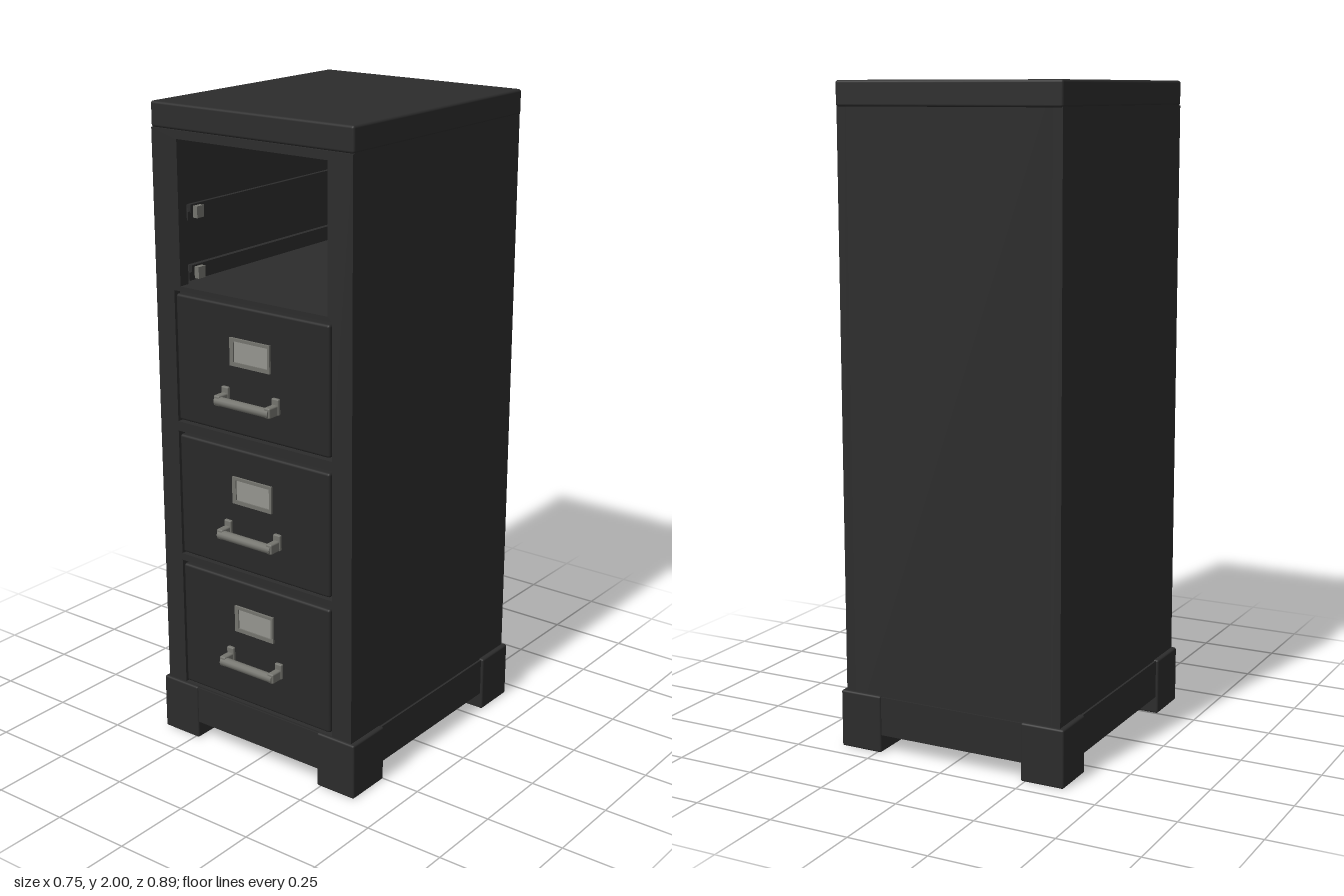
import * as THREE from 'three';
import { RoundedBoxGeometry } from 'three/addons/geometries/RoundedBoxGeometry.js';

const mat = (name, color) => {
  const m = new THREE.MeshStandardMaterial({ color });
  m.name = name;
  return m;
};

export function createModel() {
  const root = new THREE.Group();
  root.name = 'filingCabinet';
  const black = mat('blackPaint', 0x2c2c2c);
  const drawerBlack = mat('drawerPaint', 0x282828);
  const steel = mat('steel', 0x74746e);
  const card = mat('labelCard', 0x94948f);

  // Box given by its min and max corners, optionally with rounded edges
  function box(parent, name, m, [x0, y0, z0], [x1, y1, z1], r = 0) {
    const w = x1 - x0, h = y1 - y0, d = z1 - z0;
    const g = r ? new RoundedBoxGeometry(w, h, d, 2, r) : new THREE.BoxGeometry(w, h, d);
    const mesh = new THREE.Mesh(g, m);
    mesh.position.set((x0 + x1) / 2, (y0 + y1) / 2, (z0 + z1) / 2);
    mesh.name = name;
    parent.add(mesh);
    return mesh;
  }

  // Rectangular outline, used for the front frame, its openings and label frames
  function rect(P, x0, y0, x1, y1) {
    const p = new P();
    p.moveTo(x0, y0);
    p.lineTo(x1, y0);
    p.lineTo(x1, y1);
    p.lineTo(x0, y1);
    p.closePath();
    return p;
  }

  // Shell
  for (const s of [-1, 1]) {
    const side = box(root, s > 0 ? 'leftSide' : 'rightSide', black, [-0.015, 0.06, -0.435], [0.015, 1.99, 0.39]);
    side.position.x = s * 0.345;
  }
  box(root, 'backPanel', black, [-0.33, 0.06, -0.435], [0.33, 1.99, -0.41]);
  box(root, 'topPanel', black, [-0.362, 1.925, -0.44], [0.362, 2, 0.395], 0.008);
  box(root, 'bottomPanel', black, [-0.35, 0.06, -0.43], [0.35, 0.1, 0.38]);
  box(root, 'bayFloor', black, [-0.33, 1.44, -0.41], [0.33, 1.465, 0.37]);

  // Front frame with one opening per bay
  const bays = [[0.18, 0.598], [0.62, 1.02], [1.05, 1.455]];
  const frame = rect(THREE.Shape, -0.36, 0.06, 0.36, 1.925);
  for (const [y0, y1] of bays) frame.holes.push(rect(THREE.Path, -0.29, y0, 0.29, y1));
  frame.holes.push(rect(THREE.Path, -0.265, 1.47, 0.275, 1.9));
  const front = new THREE.Mesh(new THREE.ExtrudeGeometry(frame, { depth: 0.035, bevelEnabled: false }), black);
  front.position.z = 0.36;
  front.name = 'frontFrame';
  root.add(front);

  // Runners inside the open bay
  for (const s of [-1, 1]) {
    for (const y of [1.5, 1.68]) {
      const x = s * 0.295;
      box(root, 'runner', black, [x - 0.035, y - 0.02, -0.4], [x + 0.035, y + 0.005, 0.36]);
      box(root, 'runnerLip', black, [s * 0.265 - 0.006, y, -0.4], [s * 0.265 + 0.006, y + 0.025, 0.35]);
      box(root, 'runnerStop', steel, [s * 0.25 - 0.008, y - 0.015, 0.31], [s * 0.25 + 0.008, y + 0.02, 0.34]);
    }
  }

  // Drawers with label holder and pull
  bays.forEach(([y0, y1], i) => {
    const drawer = new THREE.Group();
    drawer.name = 'drawer' + (i + 1);
    root.add(drawer);
    box(drawer, 'drawerFront', drawerBlack, [-0.283, y0 + 0.008, 0.34], [0.283, y1 - 0.008, 0.398], 0.008);

    const ly = [0.465, 0.883, 1.31][i];
    const lf = rect(THREE.Shape, -0.074, ly - 0.042, 0.074, ly + 0.042);
    lf.holes.push(rect(THREE.Path, -0.06, ly - 0.03, 0.066, ly + 0.033));
    const holder = new THREE.Mesh(new THREE.ExtrudeGeometry(lf, { depth: 0.009, bevelEnabled: false }), steel);
    holder.position.z = 0.396;
    holder.name = 'labelHolder';
    drawer.add(holder);
    box(drawer, 'labelCard', card, [-0.066, ly - 0.036, 0.396], [0.07, ly + 0.036, 0.401]);

    const hy = [0.333, 0.752, 1.17][i];
    const bar = new THREE.Mesh(new THREE.CylinderGeometry(0.014, 0.014, 0.2, 12), steel);
    bar.rotation.z = Math.PI / 2;
    bar.position.set(0, hy - 0.006, 0.436);
    bar.name = 'pullBar';
    drawer.add(bar);
    for (const s of [-1, 1]) {
      const x = s * 0.094;
      box(drawer, 'pullArm', steel, [x - 0.011, hy - 0.02, 0.39], [x + 0.011, hy + 0.012, 0.445], 0.005);
      box(drawer, 'pullMount', steel, [x - 0.013, hy - 0.02, 0.395], [x + 0.013, hy + 0.03, 0.408], 0.004);
    }
  });

  // Base: four corner feet joined by skirts
  for (const s of [-1, 1]) {
    for (const [z0, z1] of [[0.25, 0.403], [-0.445, -0.3]]) {
      const foot = box(root, 'foot', black, [-0.069, 0, z0], [0.069, 0.178, z1], 0.006);
      foot.position.x = s * 0.306;
    }
    const skirt = box(root, 'sideSkirt', black, [-0.02, 0.055, -0.31], [0.02, 0.175, 0.26]);
    skirt.position.x = s * 0.347;
  }
  box(root, 'frontSkirt', black, [-0.25, 0.055, 0.36], [0.25, 0.175, 0.399]);
  box(root, 'backSkirt', black, [-0.25, 0.055, -0.44], [0.25, 0.175, -0.4]);

  return root;
}
